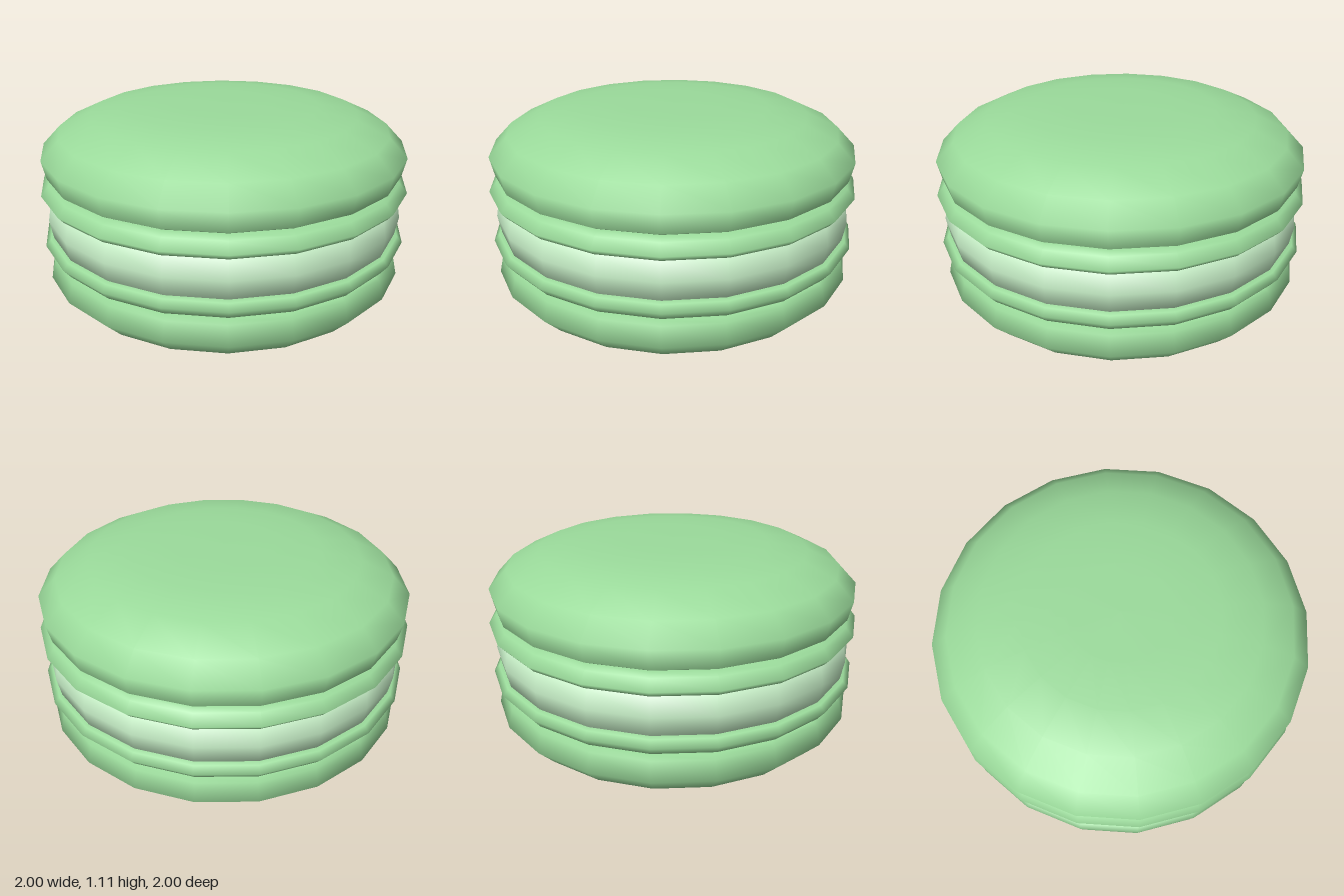
import * as THREE from 'three';

const SIDES = 20;
const MID = 0.555; // height of the mirror plane between the two shells

function lathe(name, profile, color) {
  const points = profile.map(([r, y]) => new THREE.Vector2(r, MID + y));
  const mesh = new THREE.Mesh(
    new THREE.LatheGeometry(points, SIDES),
    new THREE.MeshStandardMaterial({ color })
  );
  mesh.name = name;
  return mesh;
}

// Mirrors a profile downwards, keeping the outside facing out
const flip = (profile) => profile.map(([r, y]) => [r, -y]).reverse();

export function createModel() {
  const group = new THREE.Group();
  group.name = 'macaron';

  // Domed shell: [radius, height above the middle], from the groove to the crown
  const dome = [
    [0.87, 0.213], [0.935, 0.217], [0.962, 0.232], [0.985, 0.333], [0.89, 0.432],
    [0.72, 0.512], [0.51, 0.546], [0.27, 0.553], [0, 0.555],
  ];
  // Ruffled foot that bulges out beside the filling
  const foot = [
    [0, 0.105], [0.93, 0.105], [0.972, 0.11], [1, 0.142],
    [0.96, 0.192], [0.925, 0.206], [0.87, 0.213],
  ];
  const filling = [[0.9, -0.108], [0.955, -0.1], [0.973, 0], [0.955, 0.1], [0.9, 0.108]];

  const green = 0x9bdb9b;
  const cream = 0xc8f0c8;
  group.add(
    lathe('topShell', dome, green),
    lathe('topFoot', foot, green),
    lathe('filling', filling, cream),
    lathe('bottomFoot', flip(foot), green),
    lathe('bottomShell', flip(dome), green)
  );
  return group;
}
